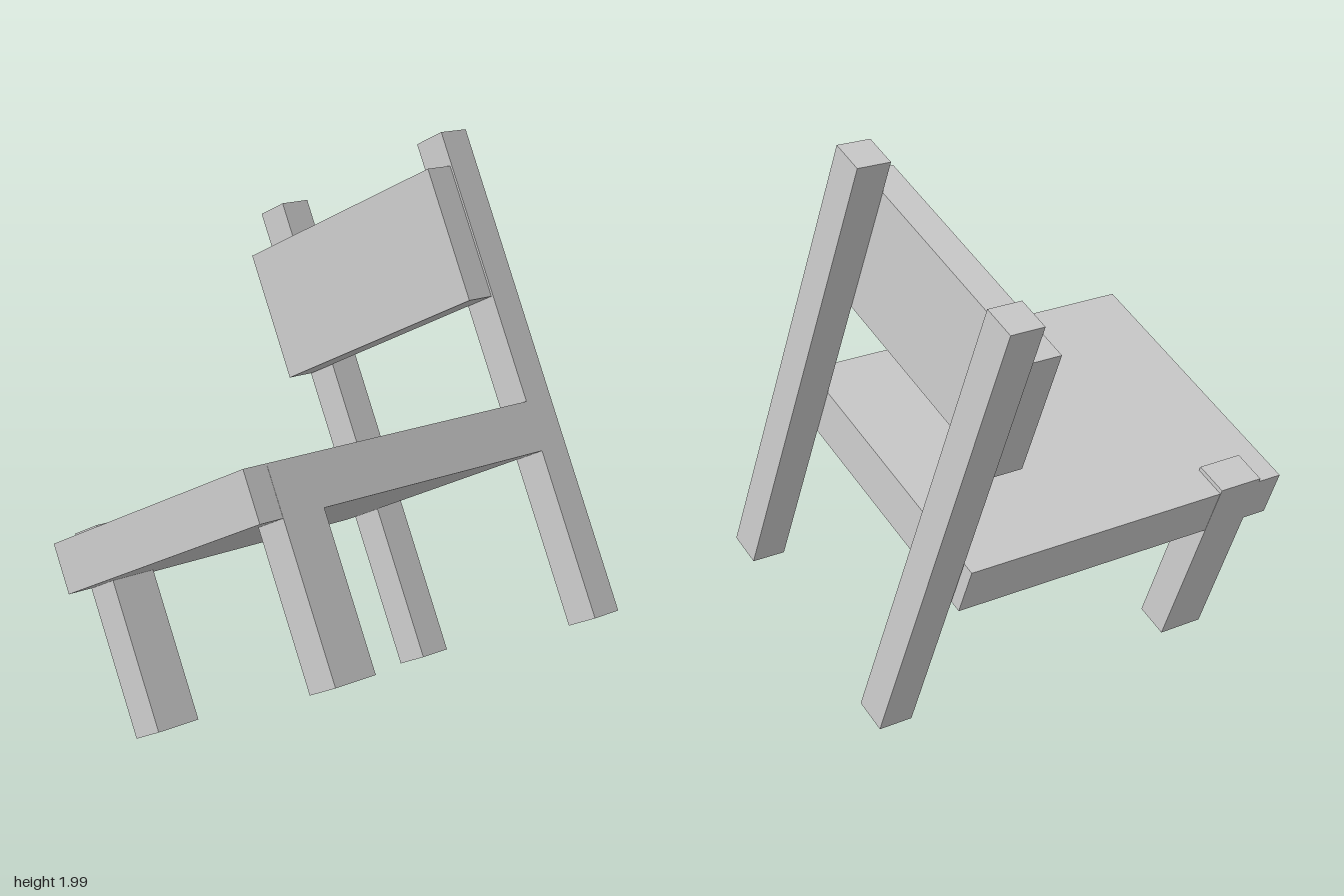
import * as THREE from 'three';

export function createModel() {
  const model = new THREE.Group();
  const paint = new THREE.MeshStandardMaterial({ color: 0xd0d0d0 });
  paint.name = 'light grey';

  // The chair is built upright in its own frame, then tilted as a whole
  const chair = new THREE.Group();
  chair.name = 'chair';
  chair.rotation.x = -0.431;
  model.add(chair);

  // Box from its limits on each axis
  function block(name, [x0, x1], [y0, y1], [z0, z1]) {
    const mesh = new THREE.Mesh(new THREE.BoxGeometry(x1 - x0, y1 - y0, z1 - z0), paint);
    mesh.position.set((x0 + x1) / 2, (y0 + y1) / 2, (z0 + z1) / 2);
    mesh.name = name;
    chair.add(mesh);
  }

  // Tall posts behind the backrest
  block('frontPost', [0.605, 0.733], [0.008, 1.779], [0.792, 0.917]);
  block('rearPost', [0.612, 0.742], [0.039, 1.813], [-0.074, 0.051]);

  // Backrest panel and seat slab
  block('backrest', [0.49, 0.605], [1.177, 1.657], [-0.063, 0.909]);
  block('seat', [-0.745, 0.605], [0.612, 0.791], [-0.112, 0.918]);

  // Short legs; the rear one pokes slightly through the seat
  block('frontLeg', [-0.645, -0.465], [0.063, 0.785], [0.795, 0.919]);
  block('rearLeg', [-0.645, -0.465], [0.079, 0.807], [-0.113, 0.013]);

  return model;
}
